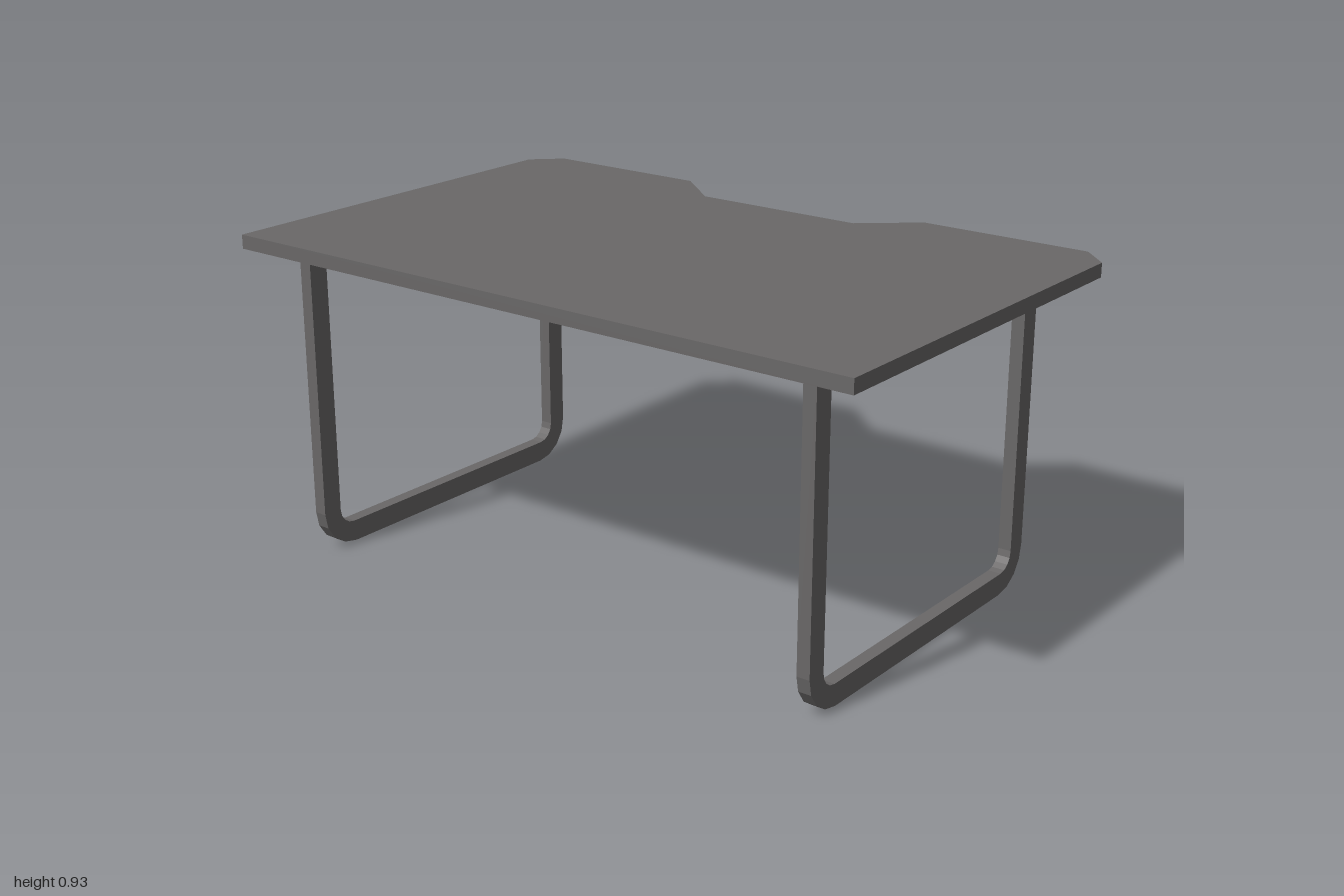
import * as THREE from 'three';

const TOP_Y = 0.89;
const TOP_THICK = 0.04;

// Extrude a flat outline with sharp edges
function extrude(points, depth) {
  const shape = new THREE.Shape(points);
  return new THREE.ExtrudeGeometry(shape, { depth, bevelEnabled: false });
}

// One path of the U: down the left side, round both corners, up the right side
function uPath(left, right, bottom, radius, segments = 4) {
  const pts = [new THREE.Vector2(left, TOP_Y)];
  for (const [cx, start] of [[left + radius, Math.PI], [right - radius, 1.5 * Math.PI]]) {
    for (let i = 0; i <= segments; i++) {
      const a = start + (i / segments) * Math.PI / 2;
      pts.push(new THREE.Vector2(cx + radius * Math.cos(a), bottom + radius + radius * Math.sin(a)));
    }
  }
  pts.push(new THREE.Vector2(right, TOP_Y));
  return pts;
}

export function createModel() {
  const group = new THREE.Group();
  group.name = 'desk';
  const grey = new THREE.MeshStandardMaterial({ color: 0x6a6868 });
  grey.name = 'dark grey';

  // Tabletop: clipped corners and a notch on the +x edge, mirrored in z
  const half = [[-0.633, 1], [0.555, 1], [0.633, 0.92], [0.633, 0.413], [0.503, 0.26]];
  const mirrored = half.map(([x, z]) => [x, -z]).reverse();
  const outline = [...half, ...mirrored].map(([x, z]) => new THREE.Vector2(x, z));
  const topGeo = extrude(outline, TOP_THICK);
  topGeo.rotateX(-Math.PI / 2);
  const top = new THREE.Mesh(topGeo, grey);
  top.name = 'tabletop';
  top.position.y = TOP_Y;
  group.add(top);

  // U-shaped leg frames at both ends
  const outer = uPath(-0.555, 0.488, 0, 0.115);
  const inner = uPath(-0.495, 0.428, 0.062, 0.05).reverse();
  const legGeo = extrude([...outer, ...inner], 0.038);
  legGeo.translate(0, 0, -0.019);
  for (const [name, z] of [['frontLegFrame', 0.833], ['backLegFrame', -0.838]]) {
    const leg = new THREE.Mesh(legGeo, grey);
    leg.name = name;
    leg.position.z = z;
    group.add(leg);
  }

  return group;
}
